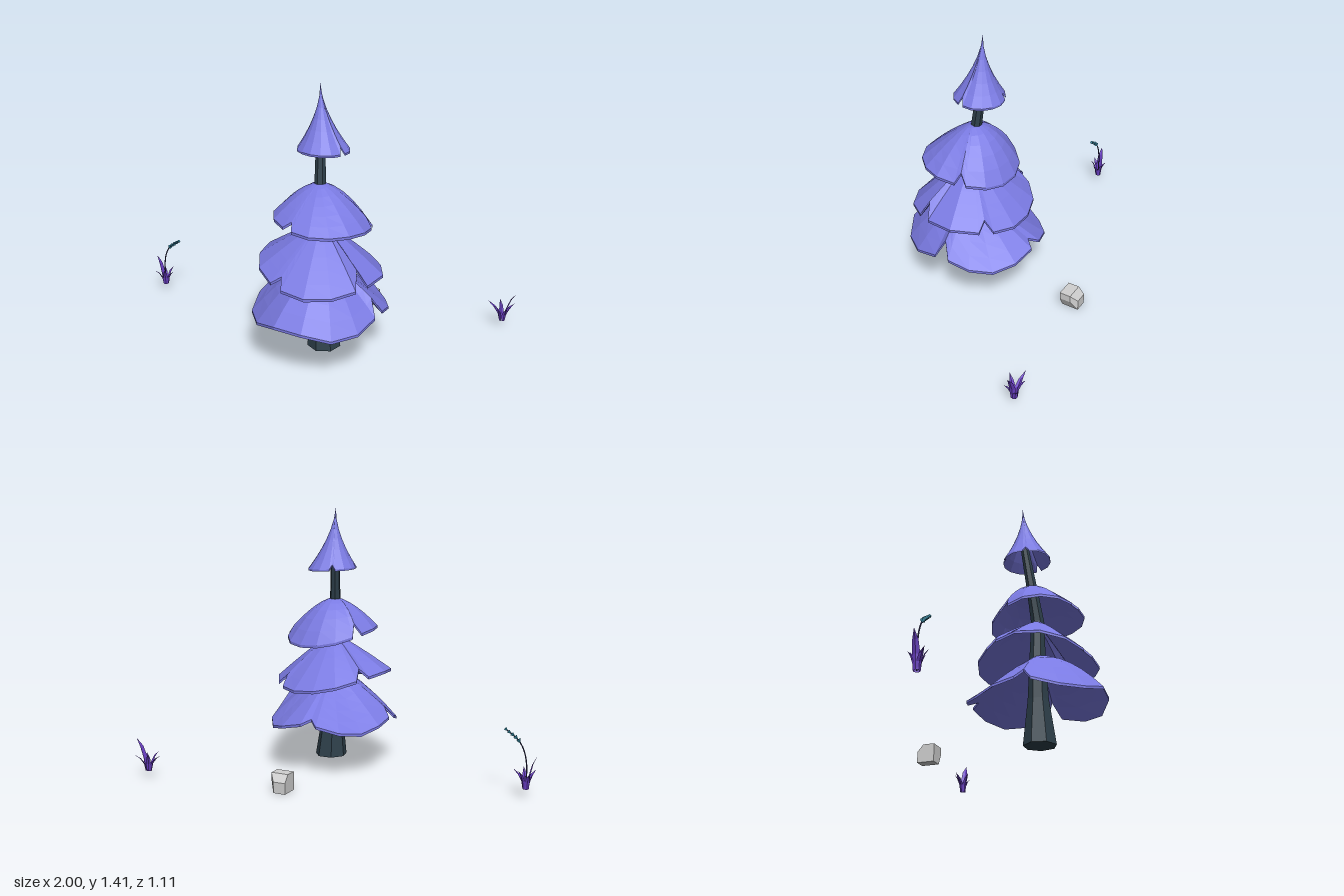
import * as THREE from 'three';
import { ConvexGeometry } from 'three/addons/geometries/ConvexGeometry.js';

const { degToRad, lerp } = THREE.MathUtils;

const mat = (name, color, side = THREE.FrontSide) =>
  new THREE.MeshStandardMaterial({ name, color, side, flatShading: true });

function named(name, geometry, material) {
  const mesh = new THREE.Mesh(geometry, material);
  mesh.name = name;
  return mesh;
}

function surface(pos, index) {
  const g = new THREE.BufferGeometry();
  g.setAttribute('position', new THREE.Float32BufferAttribute(pos, 3));
  g.setIndex(index);
  g.computeVertexNormals();
  return g;
}

// Rim of a tier: a tilted, wavy ring split into rounded lobes by raised notches
function rimPoints({ radius, stretch, height, tilt, toward, wave, waves, notches }) {
  const rim = [];
  const add = (deg, shrink, lift) => {
    const a = degToRad(deg);
    const y = height + tilt * Math.cos(a - degToRad(toward)) + wave * Math.cos(waves * a);
    rim.push({ a, r: (radius - stretch * Math.cos(2 * a)) * shrink, y: y + lift });
  };
  notches.forEach(([deg, lift], i) => {
    const next = i + 1 < notches.length ? notches[i + 1][0] : notches[0][0] + 360;
    const start = deg + 7, end = next - 7, n = Math.round((end - start) / 22);
    add(deg, 0.84, lift);
    for (let k = 0; k <= n; k++) add(lerp(start, end, k / n), k % n ? 1 : 0.97, 0);
  });
  return rim;
}

// Drooping shell from apex to rim and back up along its underside
function foliageGeometry(tier) {
  const { apex, centre, bend, swing, spacing, thick } = tier;
  const rim = rimPoints(tier), rows = 6, cols = rim.length;
  const pos = [], index = [], steps = [];
  for (let i = 0; i <= rows; i++) steps.push([i / rows, 0]);
  for (let i = rows; i >= 0; i--) steps.push([i / rows, thick]);
  steps.forEach(([s, lower], i) => {
    const t = s ** spacing;
    rim.forEach(({ a, r, y }, j) => {
      const drop = t ** (bend + swing * Math.sin(a));
      pos.push(
        lerp(apex[0], centre[0], drop) + Math.cos(a) * r * t,
        lerp(apex[1], y, drop) - lower,
        lerp(apex[2], centre[1], drop) + Math.sin(a) * r * t);
      if (i === 0) return;
      const p = (i - 1) * cols + j, q = (i - 1) * cols + (j + 1) % cols;
      index.push(p, q, p + cols, q, q + cols, p + cols);
    });
  });
  return surface(pos, index);
}

// Tiers from bottom to top; notches are [angle in degrees, lift]
const plain = { stretch: 0, tilt: 0, toward: 0, wave: 0, waves: 2, swing: 0, spacing: 1, thick: 0.014 };
const tiers = [
  { ...plain, apex: [0.2, 0.525, 0.2], centre: [0.18, 0.19], radius: 0.357, stretch: 0.014,
    height: 0.264, wave: 0.026, waves: 4, bend: 1.35, swing: 0.4,
    notches: [[0, 0.08], [175, 0.05], [267, 0.02]] },
  { ...plain, apex: [0.19, 0.725, 0.2], centre: [0.19, 0.2], radius: 0.318,
    height: 0.482, tilt: 0.03, toward: 180, wave: 0.028, bend: 1.15,
    notches: [[22, 0.085], [108, 0.04], [214, 0.05], [314, 0.05]] },
  { ...plain, apex: [0.175, 0.925, 0.195], centre: [0.2, 0.2], radius: 0.25,
    height: 0.732, tilt: 0.034, toward: 120, wave: 0.015, bend: 1.6, swing: -0.35,
    notches: [[108, 0.03], [210, 0.06], [339, 0.05]] },
  { ...plain, apex: [0.147, 1.41, 0.143], centre: [0.172, 0.153], radius: 0.132,
    height: 1.09, tilt: 0.006, toward: 120, bend: 0.57, spacing: 1.6, thick: 0.01,
    notches: [[15, 0.035], [165, 0.025], [245, 0.025]] },
];

// Trunk stations: x, y, z, radius
const trunkPath = [
  [0.205, 0.04, 0.195, 0.088], [0.195, 0.28, 0.195, 0.056], [0.192, 0.5, 0.197, 0.044],
  [0.2, 0.72, 0.2, 0.036], [0.17, 0.92, 0.18, 0.029], [0.155, 1.15, 0.15, 0.023]];

function trunkGeometry() {
  const n = trunkPath.length - 1;
  const g = new THREE.CylinderGeometry(1, 1, n, 7, n);
  const p = g.attributes.position;
  for (let i = 0; i < p.count; i++) {
    const [x, y, z, r] = trunkPath[Math.round(p.getY(i) + n / 2)];
    p.setXYZ(i, x + p.getX(i) * r, y, z + p.getZ(i) * r);
  }
  g.computeVertexNormals();
  return g;
}

// Folded blade arching from the clump centre to a tip offset (dx, h, dz)
function bladeGeometry(dx, h, dz, width) {
  const len = Math.hypot(dx, dz), ux = dx / len, uz = dz / len;
  const pos = [], index = [];
  [[0, 0.7], [0.35, 1], [0.7, 0.75], [1, 0.02]].forEach(([t, w], i) => {
    const out = 0.012 * (1 - t) + len * t ** 1.9;
    const y = h * (1.25 * t - 0.25 * t * t);
    for (const s of [-1, 0, 1]) {
      const fold = s === 0 ? 0.006 * w : 0;
      const side = s * w * width / 2;
      pos.push(ux * (out + fold) - uz * side, y, uz * (out + fold) + ux * side);
    }
    if (i) for (let k = 0; k < 2; k++) {
      const a = (i - 1) * 3 + k;
      index.push(a, a + 3, a + 1, a + 1, a + 3, a + 4);
    }
  });
  return surface(pos, index);
}

// Blade tips of a clump, the tall one first: dx, height, dz, width
const blades = [
  [0.068, 0.17, -0.005, 0.036], [-0.09, 0.095, -0.008, 0.026], [-0.035, 0.1, 0.047, 0.026],
  [0.035, 0.085, 0.035, 0.024], [-0.03, 0.1, -0.042, 0.026], [0.05, 0.09, -0.048, 0.026]];

function grassClump(name, material, x, z, flip, spread) {
  const clump = new THREE.Group();
  clump.name = name;
  for (const [dx, h, dz, w] of blades)
    clump.add(named('grassBlade', bladeGeometry(dx * flip * spread, h, dz * flip, w), material));
  clump.position.set(x, 0.04, z);
  return clump;
}

// Stone: a block cut by a sloping bevel on its right and back upper edges
function stoneGeometry() {
  const points = [];
  for (const x of [0, 0.7, 1]) for (const y of [0, 0.6, 1]) for (const z of [0, 0.35, 1]) {
    const cut = (x === 1) + (y === 1) + (z === 0);
    const cornerCut = x === 1 && (z === 0 || y === 0);
    if (cut < 3 && !cornerCut && !(y === 1 && z === 0))
      points.push(new THREE.Vector3(0.14 + x * 0.095, y * 0.095, -0.453 + z * 0.093));
  }
  return new ConvexGeometry(points);
}

export function createModel() {
  const foliage = mat('periwinkle foliage', 0x7a7ae2);
  const bark = mat('dark slate bark', 0x2e404b);
  const stone = mat('pale grey stone', 0xd0d0d0);
  const grass = mat('purple grass', 0x6a3fc4, THREE.DoubleSide);
  const stemMat = mat('dark stem', 0x33305a);
  const petal = mat('teal blossom', 0x34849c);

  const model = new THREE.Group();
  model.name = 'treeScene';

  // Tree
  const tree = new THREE.Group();
  tree.name = 'tree';
  tree.add(named('trunk', trunkGeometry(), bark));
  tiers.forEach((tier, i) => tree.add(named('foliageTier' + (i + 1), foliageGeometry(tier), foliage)));
  model.add(tree);

  model.add(named('stone', stoneGeometry(), stone));

  // Grass clumps
  model.add(grassClump('leftGrass', grass, 0.928, -0.51, 1, 1));
  const flowerGrass = grassClump('rightGrass', grass, -0.948, 0.03, -1, 0.76);
  model.add(flowerGrass);

  // Bent flower stem with a row of blossoms
  const curve = new THREE.CatmullRomCurve3([
    [0, 0, 0], [-0.002, 0.12, 0], [0.012, 0.19, 0], [0.04, 0.24, 0], [0.108, 0.292, 0],
  ].map(p => new THREE.Vector3(...p)));
  flowerGrass.add(named('flowerStem', new THREE.TubeGeometry(curve, 14, 0.0035, 5), stemMat));
  const up = new THREE.Vector3(0, 1, 0);
  for (let i = 0; i < 5; i++) {
    const u = 0.73 + i * 0.062;
    const blossom = named('blossom', new THREE.ConeGeometry(0.013 - i * 0.001, 0.024, 5), petal);
    blossom.position.copy(curve.getPointAt(u));
    blossom.quaternion.setFromUnitVectors(up, curve.getTangentAt(u).negate());
    flowerGrass.add(blossom);
  }
  return model;
}
